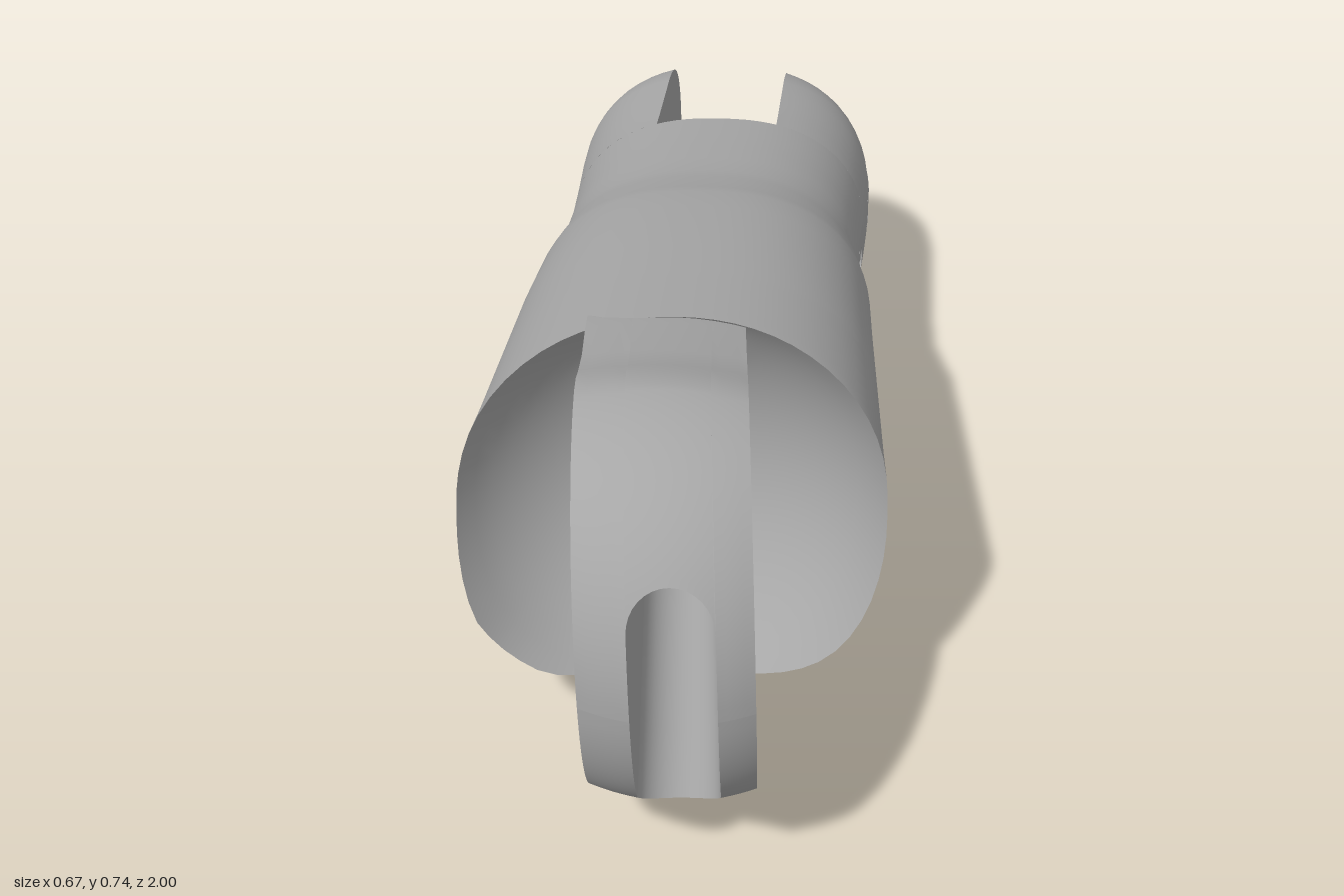
import * as THREE from 'three';
import { mergeVertices } from 'three/addons/utils/BufferGeometryUtils.js';

const V = (x, y, z) => new THREE.Vector3(x, y, z);
const { lerp } = THREE.MathUtils;
const range = (n, a = 0, b = 1) => Array.from({ length: n + 1 }, (_, i) => a + (b - a) * i / n);
const TAU = Math.PI * 2, N = 2.4;
const sup = t => Math.pow(Math.max(0, 1 - Math.pow(Math.abs(t), N)), 1 / N);

// Body stations along z: [z, left x, right x, bottom y, top y]
const stations = [
  [0.6, -0.34, 0.325, 0.1, 0.7], [0.5, -0.34, 0.328, 0.102, 0.695], [0.4, -0.33, 0.325, 0.1, 0.685],
  [0, -0.303, 0.32, 0.07, 0.637], [-0.15, -0.29, 0.32, 0.05, 0.615], [-0.22, -0.28, 0.312, 0.05, 0.595],
  [-0.3, -0.264, 0.302, 0.052, 0.576], [-0.45, -0.255, 0.31, 0.035, 0.56],
  [-0.6, -0.255, 0.325, 0.012, 0.546], [-0.72, -0.255, 0.335, 0.004, 0.54], [-1.1, -0.255, 0.335, 0.004, 0.54]];

function section(z) {
  let i = 0;
  while (i < stations.length - 2 && z < stations[i + 1][0]) i++;
  const a = stations[i], b = stations[i + 1], t = (z - a[0]) / (b[0] - a[0]);
  const [x0, x1, y0, y1] = [1, 2, 3, 4].map(k => lerp(a[k], b[k], t));
  const f = z < -0.72 ? sup(Math.min(1, (-0.72 - z) / 0.29)) : 1;   // rounded rear end
  return { cx: (x0 + x1) / 2, rx: f * (x1 - x0) / 2 + 1e-6, cy: (y0 + y1) / 2, ry: f * (y1 - y0) / 2 + 1e-6 };
}
function bodyPoint(th, z) {
  const s = section(z), c = Math.cos(th), n = Math.sin(th);
  const r = Math.pow(Math.pow(Math.abs(c) / s.rx, N) + Math.pow(Math.abs(n) / s.ry, N), -1 / N);
  return V(s.cx + r * c, s.cy + r * n, z);
}

// Rear slot: side planes, prong angle and dished floor
const FLOOR = -0.56;
const slotX = (side, z) => (side > 0 ? 0.155 : -0.075) - 0.06 * (z + 0.78);
function slotHalfHeight(side, z) {
  const s = section(z);
  return s.ry * sup(Math.min(1, (slotX(side, z) - s.cx) / s.rx));
}
const prongAngle = (side, z) => Math.atan2(slotHalfHeight(side, z), side * (slotX(side, z) - section(z).cx));
const floorZ = (x, y) => Math.max(FLOOR, -0.8 + Math.sqrt(Math.max(0, 0.137 - (x - 0.04) ** 2 - (y - 0.27) ** 2)));
// Front socket, a spherical dish
const socketZ = (x, y) => Math.min(0.58, 0.68 - Math.sqrt(Math.max(0, 0.148 - x * x - (y - 0.45) ** 2)));

// Grid surface; cells inside the blocks [i0, i1, j0, j1] stay open
function skin(P, us, vs, flip = false, blocks = []) {
  const pos = [], idx = [], w = vs.length;
  us.forEach((u, i) => vs.forEach((v, j) => {
    pos.push(...P(u, v).toArray());
    if (!i || !j || blocks.some(b => i > b[0] && i <= b[1] && j > b[2] && j <= b[3])) return;
    const a = (i - 1) * w + j - 1, b = a + w, c = b + 1, d = a + 1;
    idx.push(...(flip ? [a, c, b, a, d, c] : [a, b, c, a, c, d]));
  }));
  let g = new THREE.BufferGeometry();
  g.setAttribute('position', new THREE.Float32BufferAttribute(pos, 3));
  g.setIndex(idx);
  g = mergeVertices(g, 1e-5);
  g.computeVertexNormals();
  return g;
}
// Flat face drawn in (z, y) and placed at x = rule(z, y)
function face(pts, holes, rule, flip) {
  const shape = new THREE.Shape(pts.map(p => new THREE.Vector2(p[0], p[1])));
  holes.forEach(([z, y, r]) => shape.holes.push(new THREE.Path().absarc(z, y, r, 0, TAU, true)));
  const g = new THREE.ShapeGeometry(shape, 16), p = g.attributes.position;
  for (let i = 0; i < p.count; i++) {
    const z = p.getX(i), y = p.getY(i);
    p.setXYZ(i, rule(z, y), y, z);
  }
  if (flip) g.index.array.reverse();
  g.computeVertexNormals();
  return g;
}

// Tongue outline pieces, slightly crowned across its thickness
const HALF = 0.122, CZ = 0.67, CY = 0.425, R = 0.332;
const skewX = (z, y) => 0.04 * (z - 0.7) - 0.03 * (y - 0.43);
const skew = p => V(p.x + skewX(p.z, p.y), p.y, p.z);
const crown = (x, z, y) => {
  const q = (x / HALF) ** 2;
  return [z > CZ ? CZ + (z - CZ) * (1 - 0.09 * q) : z, CY + (y - CY) * (1 - 0.045 * q)];
};
const rimAngle = (x, y) => Math.asin((y - CY) / (R * (1 - 0.045 * (x / HALF) ** 2)));
const arc = (x, a, b, n) => range(n, a, b).map(t => crown(x, CZ + R * Math.cos(t), CY + R * Math.sin(t)));
const tongueLine = (x, top, phi) => (top
  ? [[0.3, 0.66], [0.4, 0.688], [0.5, 0.703], [0.58, 0.73], [0.63, 0.751]]
  : [[0.3, 0.115], [0.4, 0.108], [0.5, 0.102], [0.58, 0.098], [0.63, 0.094]])
  .map(p => crown(x, ...p)).concat(arc(x, top ? Math.PI / 2 : -Math.PI / 2, phi, 24));

// Cord channel: a stadium section
const SLOT = { x: 0.01, r: 0.06, top: 0.555, bottom: 0.21 };
const stadiumAngles = [...range(16, 0, Math.PI), ...range(16, Math.PI + 1e-4, TAU), TAU + 1e-4];
const stadium = (a, cx, top, bottom) =>
  [cx + 0.06 * Math.cos(a), (a <= Math.PI || a > TAU ? top : bottom) + 0.06 * Math.sin(a)];
const backStadium = a => stadium(a, 0.04, 0.43, 0.29);

export function createModel() {
  const model = new THREE.Group();
  const grey = new THREE.MeshStandardMaterial({ color: 0xa6a6a6, side: THREE.DoubleSide });
  grey.name = 'plain grey';
  const add = (name, g) => {
    const m = new THREE.Mesh(g, grey);
    m.name = name;
    model.add(m);
  };

  // Main sleeve from the socket edge to the slot
  const frontEdge = th => {
    let z = 0.5;
    for (let k = 0; k < 14; k++) {
      const p = bodyPoint(th, z);
      z = lerp(z, socketZ(p.x, p.y), 0.6);
    }
    return z;
  };
  const angles = range(64, -Math.PI / 2, 1.5 * Math.PI);
  const rows = [...range(8).map(t => ['edge', t]),
    ...[0.1, 0, -0.08, -0.15, -0.185, -0.22, -0.26, -0.3, -0.36, -0.425, -0.48, -0.535, FLOOR].map(z => ['z', z])];
  const i0 = rows.findIndex(r => r[1] === -0.425);
  add('sleeve', skin(([kind, t], th) => bodyPoint(th, kind === 'z' ? t : lerp(frontEdge(th), 0.2, t)),
    rows, angles, false, [[i0, i0 + 2, 14, 18], [i0, i0 + 2, 46, 50]]));

  // Dished socket around the tongue
  add('socket', skin((s, th) => {
    const e = bodyPoint(th, frontEdge(th)), c = Math.cos(th), n = Math.sin(th);
    const k = Math.min(0.1 / Math.max(1e-6, Math.abs(c)), 0.25 / Math.max(1e-6, Math.abs(n)));
    const x = lerp(e.x, k * c, s), y = lerp(e.y, 0.385 + k * n, s);
    return V(x, y, s === 0 ? e.z : socketZ(x, y));
  }, range(10), angles, true));

  // Rear prongs with two pin holes each
  for (const side of [1, -1]) {
    const label = side > 0 ? 'left' : 'right', base = side > 0 ? 0 : Math.PI;
    let tip = -0.8;
    while (slotHalfHeight(side, tip) > 0.004 && tip > -1) tip -= 0.0005;
    const zs = [FLOOR, -0.61, -0.665, -0.72, -0.775, ...range(16).slice(1).map(t => lerp(-0.775, tip, Math.sin(t * Math.PI / 2)))];
    add(label + 'Prong', skin((z, v) => bodyPoint(base + v * prongAngle(side, z), z),
      zs, range(24, -1, 1), false, [[2, 4, 10, 14]]));

    const edge = sign => zs.map(z => [z, section(z).cy + sign * slotHalfHeight(side, z)]);
    const top = edge(1), bottom = edge(-1);
    const floor = range(24, bottom[0][1], top[0][1]).slice(1, -1).map(y => [floorZ(slotX(side, -0.5), y), y]);
    add(label + 'ProngInside', face([...floor, ...top, ...bottom.reverse()],
      [[-0.48, 0.28, 0.033], [-0.72, 0.28, 0.033]], z => slotX(side, z), side < 0));

    for (const zh of [-0.48, -0.72]) {
      const ring = a => {
        const z = zh + 0.033 * Math.cos(a), y = 0.28 + 0.033 * Math.sin(a), s = section(z);
        return V(s.cx + side * s.rx * sup((y - s.cy) / s.ry), y, z);
      };
      const square = a => {
        const c = Math.cos(a), n = Math.sin(a), m = Math.max(Math.abs(c), Math.abs(n)), z = zh + 0.055 * c / m;
        const d = (zh > -0.5 ? TAU / 32 : prongAngle(side, z) / 6) * n / m;
        return bodyPoint(side > 0 ? d : Math.PI - d, z);
      };
      add(label + 'PinHoleRim', skin((s, a) => (s ? ring(a) : square(a)), [0, 1], range(32, 0, TAU), side < 0));
      add(label + 'PinHole', skin((s, a) => {
        const p = ring(a);
        return V(lerp(p.x, slotX(side, p.z), s), p.y, p.z);
      }, [0, 1], range(32, 0, TAU), side < 0));
    }
  }

  // Dished floor of the rear slot, open around the channel
  const rear = section(FLOOR);
  add('slotFloor', skin((s, a) => {
    const [ix, iy] = backStadium(a), dx = ix - 0.04, dy = iy - 0.36;
    const tx = (dx > 0 ? slotX(1, -0.52) - 0.04 : 0.04 - slotX(-1, -0.52)) / Math.max(1e-6, Math.abs(dx));
    const ty = (dy > 0 ? rear.cy + rear.ry - 0.36 : 0.36 - rear.cy + rear.ry) / Math.max(1e-6, Math.abs(dy));
    const k = Math.min(tx, ty), ox = 0.04 + dx * k, h = rear.ry * sup((ox - rear.cx) / rear.rx);
    const oy = THREE.MathUtils.clamp(0.36 + dy * k, rear.cy - h, rear.cy + h);
    const x = lerp(ox, ix, s), y = lerp(oy, iy, s);
    return V(x, y, floorZ(x, y));
  }, range(8), stadiumAngles));

  // Tongue sides with the pivot hole
  const pivot = [0.73, 0.485, 0.063];
  for (const side of [1, -1]) {
    const x = side * HALF, label = side > 0 ? 'left' : 'right';
    const outline = [...tongueLine(x, true, 0), ...tongueLine(x, false, 0).reverse().slice(1)];
    add(label + 'TongueSide', face(outline, [pivot], (z, y) => x + skewX(z, y), side > 0));
    const wall = SLOT.x + side * SLOT.r;
    const inner = [[0.3, SLOT.bottom], ...arc(wall, rimAngle(wall, SLOT.bottom), rimAngle(wall, SLOT.top), 16), [0.3, SLOT.top]];
    add(label + 'ChannelWall', face(inner, [pivot], (z, y) => wall + skewX(z, y), side < 0));
    add(label + 'PivotHole', skin((t, a) => skew(V(t, pivot[1] + pivot[2] * Math.sin(a), pivot[0] + pivot[2] * Math.cos(a))),
      side > 0 ? [wall, x] : [x, wall], range(32, 0, TAU), true));
  }

  // Tongue rim, split around the long opening, and the rounded channel ends
  for (const top of [true, false]) {
    const label = top ? 'upper' : 'lower', sign = top ? 1 : -1, mid = top ? SLOT.top : SLOT.bottom;
    const endY = x => mid + sign * Math.sqrt(Math.max(0, SLOT.r ** 2 - (x - SLOT.x) ** 2));
    const a = SLOT.x - SLOT.r, b = SLOT.x + SLOT.r;
    const opening = range(16, -1, 1).map(t => SLOT.x + SLOT.r * Math.sin(t * Math.PI / 2));
    for (const [xs, open] of [[range(4, -HALF, a), false], [opening, true], [range(4, b, HALF), false]])
      add(label + 'Rim', skin((x, k) => {
        const [z, y] = tongueLine(x, top, open ? rimAngle(x, endY(x)) : 0)[k];
        return skew(V(x, y, z));
      }, xs, range(29, 0, 29).map(Math.round), top));
    add(label + 'ChannelEnd', skin((s, t) => {
      const x = SLOT.x + SLOT.r * Math.cos(t), y = mid + SLOT.r * Math.sin(t);
      const rim = crown(x, CZ + R * Math.cos(rimAngle(x, y)), 0)[0];
      return skew(V(x, y, lerp(rim, 0.3, s)));
    }, range(4), top ? range(16, 0, Math.PI) : range(16, Math.PI, TAU), true));
  }

  // Channel through the sleeve
  add('channel', skin((s, a) => {
    const [fx, fy] = stadium(a, SLOT.x, SLOT.top, SLOT.bottom), [bx, by] = backStadium(a);
    return skew(V(fx, fy, 0.3)).lerp(V(bx, by, floorZ(bx, by)), s);
  }, range(6), stadiumAngles, true));

  return model;
}
